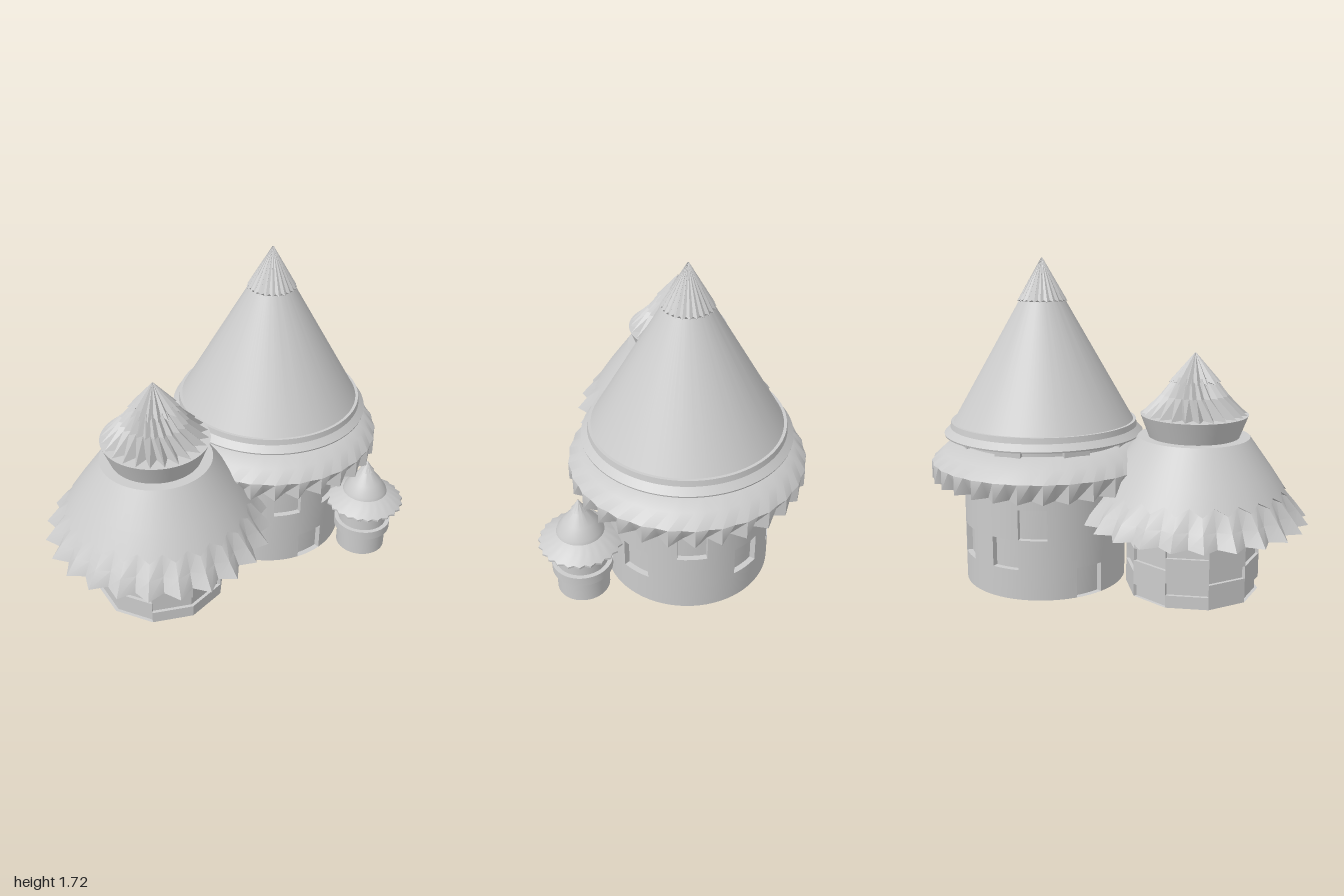
import * as THREE from 'three';
import { toCreasedNormals } from 'three/addons/utils/BufferGeometryUtils.js';

const smooth = new THREE.MeshStandardMaterial({ color: 0xcccccc, side: THREE.DoubleSide });
const faceted = new THREE.MeshStandardMaterial({ color: 0xcccccc, side: THREE.DoubleSide, flatShading: true });

function add(group, name, geometry, material = smooth) {
  const mesh = new THREE.Mesh(geometry, material);
  mesh.name = name;
  group.add(mesh);
  return mesh;
}

function fromPositions(positions) {
  const geometry = new THREE.BufferGeometry();
  geometry.setAttribute('position', new THREE.Float32BufferAttribute(positions, 3));
  geometry.computeVertexNormals();
  return geometry;
}

// Turned profile of [radius, y] points, bottom to top, with crisp edges
function turned(profile, segments = 72) {
  const points = profile.map(([r, y]) => new THREE.Vector2(r, y));
  return toCreasedNormals(new THREE.LatheGeometry(points, segments), 0.4);
}

// Pleated shell; each ring is [ridge radius, valley radius, ridge y, valley y, twist]
function pleated(rings, count, crease = 0.7) {
  const positions = [];
  const point = ([ridge, valley, ridgeY, valleyY, twist = 0], i) => {
    const a = Math.PI / 2 + i * Math.PI / count + twist;
    const r = i % 2 ? valley : ridge;
    return [r * Math.cos(a), i % 2 ? valleyY : ridgeY, r * Math.sin(a)];
  };
  for (let j = 0; j < rings.length - 1; j++) {
    for (let i = 0; i < count * 2; i++) {
      const a = point(rings[j], i), b = point(rings[j], i + 1);
      const c = point(rings[j + 1], i), d = point(rings[j + 1], i + 1);
      positions.push(...a, ...c, ...b, ...b, ...c, ...d);
    }
  }
  return toCreasedNormals(fromPositions(positions), crease);
}

// Round wall divided into cells; cells picked by isInset are set back by depth
function recessedWall(sides, sub, levels, radius, depth, isInset) {
  const positions = [];
  const step = Math.PI * 2 / sides;
  const at = (r, a, y) => [r * Math.cos(a), y, r * Math.sin(a)];
  const quad = (a, b, c, d) => positions.push(...a, ...c, ...b, ...b, ...c, ...d);
  const rad = (k, row) => row >= 0 && row < levels.length - 1 && isInset((k + sides) % sides, row)
    ? radius - depth : radius;
  for (let row = 0; row < levels.length - 1; row++) {
    const y0 = levels[row], y1 = levels[row + 1];
    for (let k = 0; k < sides; k++) {
      const r = rad(k, row), below = rad(k, row - 1), before = rad(k - 1, row);
      for (let s = 0; s < sub; s++) {
        const a0 = (k + s / sub) * step, a1 = (k + (s + 1) / sub) * step;
        quad(at(r, a0, y0), at(r, a1, y0), at(r, a0, y1), at(r, a1, y1));
        if (below !== r) quad(at(below, a0, y0), at(below, a1, y0), at(r, a0, y0), at(r, a1, y0));
      }
      if (before !== r) {
        const a = k * step;
        quad(at(before, a, y0), at(r, a, y0), at(before, a, y1), at(r, a, y1));
      }
    }
  }
  return toCreasedNormals(fromPositions(positions), 0.3);
}

function floorDisc(group, radius, sides) {
  add(group, 'floor', new THREE.CircleGeometry(radius, sides).rotateX(Math.PI / 2));
}

// Ring of small blocks under an eave
function blockRing(group, name, count, radius, y, size, offset) {
  for (let i = 0; i < count; i++) {
    const a = offset + i * Math.PI * 2 / count;
    const block = add(group, name, new THREE.BoxGeometry(...size));
    block.position.set(radius * Math.cos(a), y, radius * Math.sin(a));
    block.rotation.y = -a;
  }
}

function createTallTower() {
  const tower = new THREE.Group();
  tower.name = 'tallTower';
  tower.position.set(0.305, 0, -0.207);
  // Window and door recesses as "20-degree cell:row"
  const openings = new Set(['0:1', '2:2', '3:0', '4:2', '9:0', '11:2', '12:1', '14:1', '16:2']);
  add(tower, 'wall', recessedWall(18, 4, [0, 0.16, 0.32, 0.48, 0.8], 0.435, 0.03,
    (k, row) => openings.has(`${k}:${row}`)));
  floorDisc(tower, 0.435, 72);
  // Scalloped skirt roof
  add(tower, 'skirtRoof', pleated([
    [0.43, 0.43, 0.56, 0.56],
    [0.605, 0.545, 0.56, 0.565],
    [0.605, 0.597, 0.66, 0.66],
    [0.54, 0.54, 0.72, 0.72],
    [0.45, 0.45, 0.76, 0.76],
    [0.43, 0.43, 0.76, 0.76],
  ], 30, 0.8));
  blockRing(tower, 'neckBlock', 8, 0.43, 0.765, [0.05, 0.05, 0.14], 0.35);
  // Main cone with its eave band
  add(tower, 'mainRoof', turned([
    [0.43, 0.785], [0.53, 0.8], [0.532, 0.808], [0.5, 0.84],
    [0.495, 0.87], [0.48, 0.87], [0.122, 1.5],
  ], 96));
  add(tower, 'pleatedCap', pleated([
    [0.11, 0.11, 1.5, 1.5], [0.132, 0.118, 1.498, 1.508], [0.004, 0.002, 1.72, 1.72],
  ], 24, 0.1), faceted);
  return tower;
}

function createRoundHouse() {
  const house = new THREE.Group();
  house.name = 'roundHouse';
  house.position.set(-0.403, 0, 0.203);
  // Ten-sided wall with scattered set-back bricks
  const insets = [[3, 4, 7], [1, 2, 6, 9], [0, 3, 5, 8], [1, 4, 7], [0, 2, 6, 8], [4, 9]];
  add(house, 'brickWall', recessedWall(10, 1, [0, 0.065, 0.13, 0.195, 0.26, 0.325, 0.4], 0.352, 0.018,
    (k, row) => insets[row].includes(k)), faceted);
  floorDisc(house, 0.352, 10);
  // Lower and upper thatch layers
  add(house, 'lowerThatch', pleated([
    [0.3, 0.3, 0.385, 0.385], [0.6, 0.54, 0.383, 0.387],
    [0.54, 0.505, 0.46, 0.46], [0.455, 0.45, 0.56, 0.56],
  ], 24));
  add(house, 'upperThatch', pleated([
    [0.44, 0.44, 0.545, 0.56], [0.49, 0.465, 0.528, 0.565],
    [0.41, 0.41, 0.65, 0.65], [0.29, 0.29, 0.82, 0.82], [0, 0, 0.82, 0.82],
  ], 24));
  // Flared collar carrying a two-tier pleated crown
  add(house, 'collar', turned([[0.233, 0.815], [0.279, 0.935], [0, 0.935]]));
  add(house, 'lowerCrown', pleated([
    [0.272, 0.2, 0.937, 0.937], [0.175, 0.145, 1.035, 1.035, 0.16], [0.1, 0.08, 1.13, 1.13, 0.28],
  ], 24, 0.1), faceted);
  add(house, 'upperCrown', pleated([
    [0.07, 0.07, 1.11, 1.11], [0.135, 0.095, 1.1, 1.115], [0.003, 0.002, 1.252, 1.252, 0.1],
  ], 16, 0.1), faceted);
  return house;
}

function createTurret() {
  const turret = new THREE.Group();
  turret.name = 'smallTurret';
  turret.position.set(0.78, 0, 0.157);
  // Body with a raised belt
  add(turret, 'body', turned([
    [0, 0], [0.136, 0], [0.136, 0.125], [0.157, 0.125], [0.157, 0.175], [0.134, 0.175], [0.134, 0.31],
  ], 48));
  blockRing(turret, 'eaveBlock', 10, 0.132, 0.265, [0.018, 0.055, 0.04], 0.3);
  // Flared roof with a scalloped brim
  add(turret, 'roof', pleated([
    [0.12, 0.12, 0.3, 0.3], [0.217, 0.203, 0.298, 0.3], [0.217, 0.203, 0.308, 0.31],
    [0.165, 0.163, 0.345, 0.345], [0.122, 0.122, 0.367, 0.367], [0.116, 0.116, 0.385, 0.385],
    [0.082, 0.082, 0.437, 0.437], [0.033, 0.033, 0.497, 0.497],
  ], 24));
  add(turret, 'finial', pleated([
    [0.02, 0.02, 0.495, 0.495], [0.043, 0.038, 0.497, 0.5],
    [0.022, 0.02, 0.525, 0.525], [0.002, 0.002, 0.558, 0.558],
  ], 12));
  return turret;
}

export function createModel() {
  const model = new THREE.Group();
  model.name = 'thatchedTowers';
  model.add(createTallTower(), createRoundHouse(), createTurret());
  return model;
}
